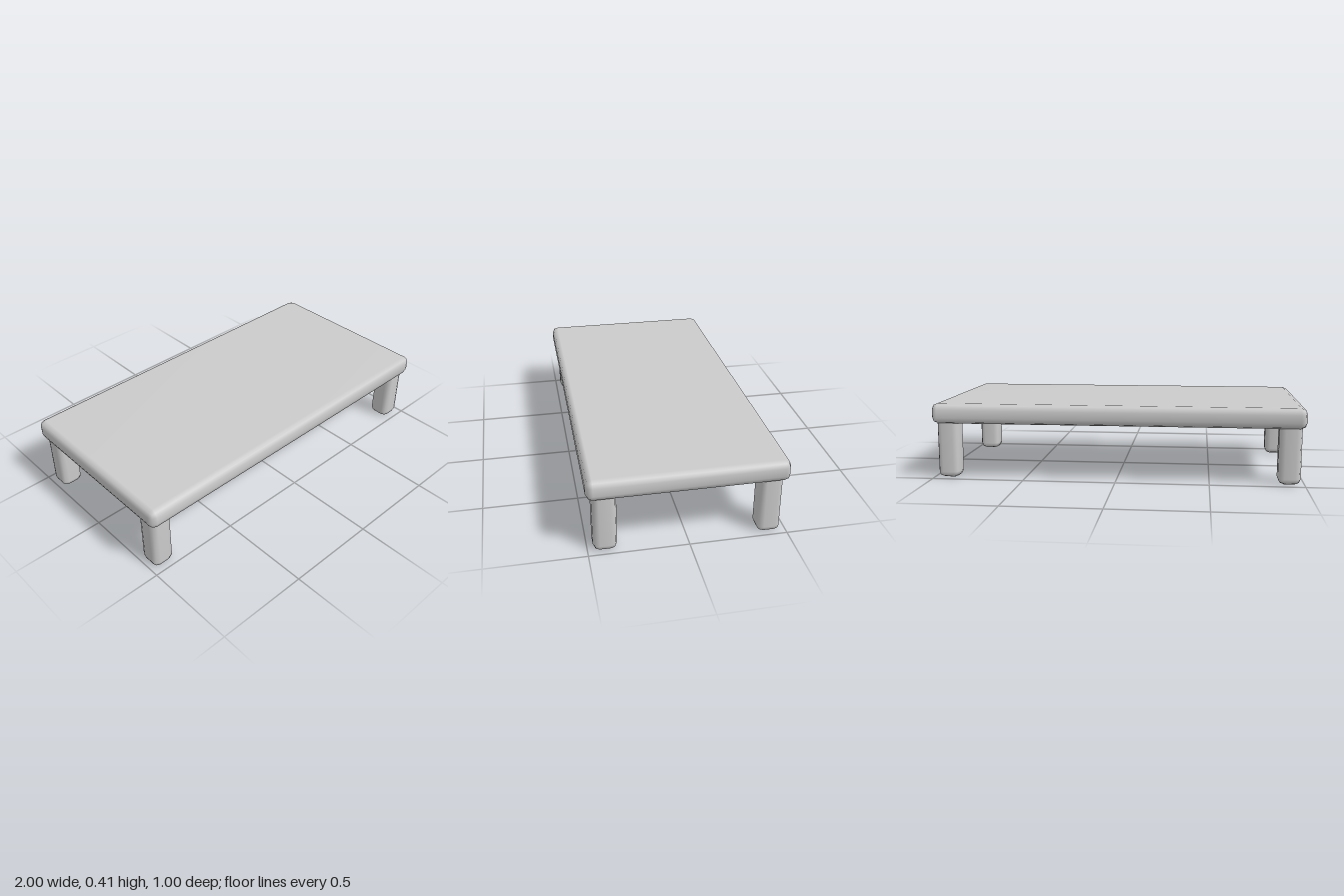
import * as THREE from 'three';
import { RoundedBoxGeometry } from 'three/addons/geometries/RoundedBoxGeometry.js';
import { mergeVertices } from 'three/addons/utils/BufferGeometryUtils.js';

const material = new THREE.MeshStandardMaterial({ color: 0xcccccc });

// Box with coarse bevels and normals blended smoothly over them
function softBox(width, height, depth, radius) {
  const box = new RoundedBoxGeometry(width, height, depth, 1, radius);
  box.deleteAttribute('uv');
  box.deleteAttribute('normal');
  const geometry = mergeVertices(box, 1e-4);
  geometry.computeVertexNormals();
  return geometry;
}

function addPart(group, name, geometry, x, y, z) {
  const mesh = new THREE.Mesh(geometry, material);
  mesh.name = name;
  mesh.position.set(x, y, z);
  group.add(mesh);
}

export function createModel() {
  const table = new THREE.Group();
  table.name = 'lowTable';

  // Slab
  addPart(table, 'tableTop', softBox(2, 0.11, 1, 0.034), 0, 0.356, 0);

  // Four legs, their rounded tops sunk into the slab
  const legHeight = 0.335;
  const leg = softBox(0.12, legHeight, 0.12, 0.032);
  for (const [side, x] of [['Left', 0.92], ['Right', -0.92]]) {
    for (const [end, z] of [['front', 0.412], ['back', -0.412]]) {
      addPart(table, `${end}${side}Leg`, leg, x, legHeight / 2, z);
    }
  }
  return table;
}
